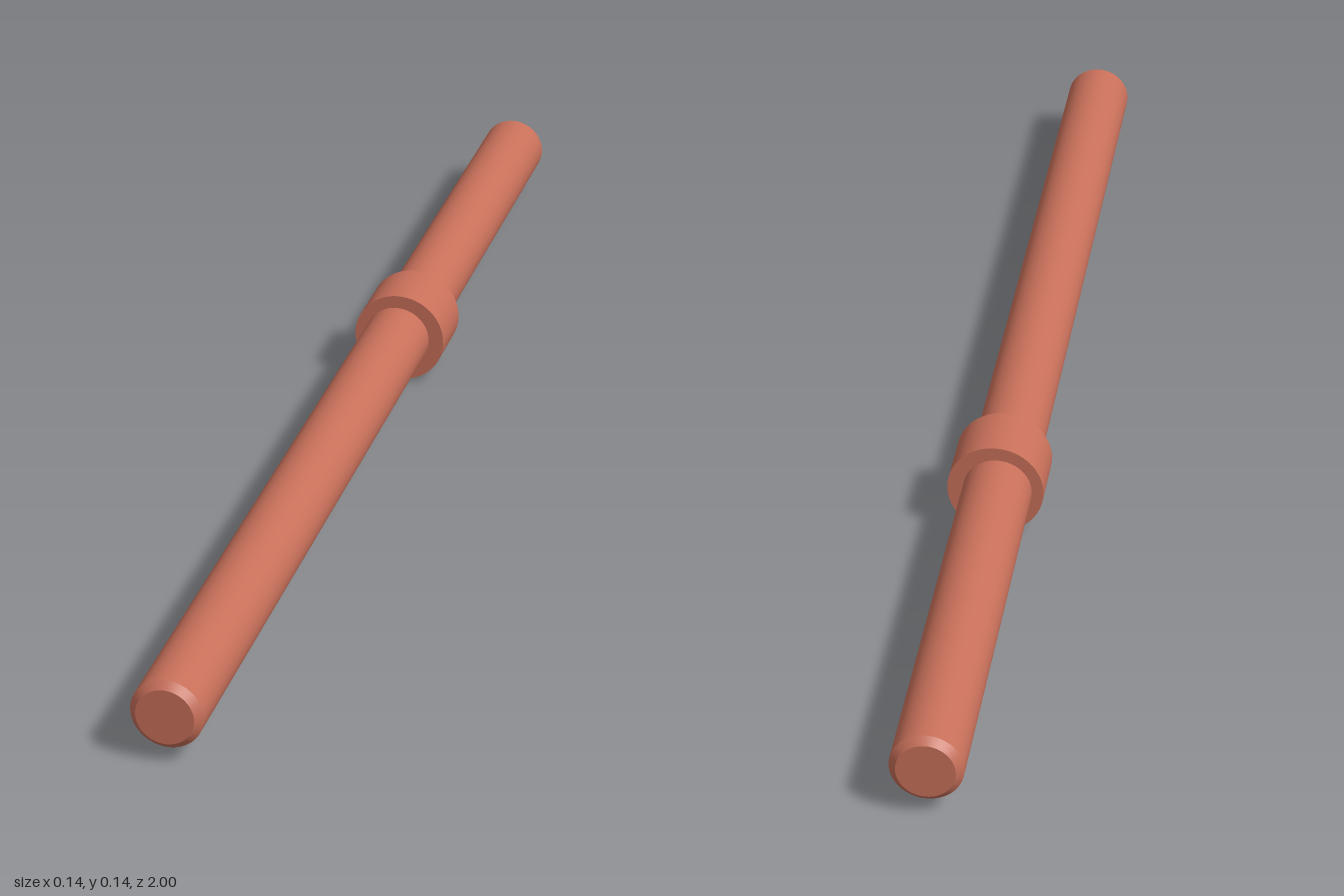
import * as THREE from 'three';

// Turned solid along z; each profile corner is doubled so its edge stays sharp.
function turned(name, profile, material) {
  const points = profile.flatMap(([r, z]) => [new THREE.Vector2(r, z), new THREE.Vector2(r, z)]);
  const geometry = new THREE.LatheGeometry(points.slice(1, -1), 64);
  geometry.rotateX(Math.PI / 2);
  const mesh = new THREE.Mesh(geometry, material);
  mesh.name = name;
  return mesh;
}

export function createModel() {
  const group = new THREE.Group();
  group.name = 'shaftWithCollar';
  const material = new THREE.MeshStandardMaterial({ color: 0xc8705a });

  // Long shaft with a small chamfer at both ends, sitting slightly off the collar's axis
  const radius = 0.05, chamfer = 0.01;
  const shaft = turned('shaft', [
    [0, -1], [radius - chamfer, -1], [radius, -1 + chamfer],
    [radius, 1 - chamfer], [radius - chamfer, 1], [0, 1],
  ], material);
  shaft.position.set(-0.003, 0.07, 0);

  // Square-edged collar behind the middle
  const collar = turned('collar', [
    [0, -0.05], [0.07, -0.05], [0.07, 0.05], [0, 0.05],
  ], material);
  collar.position.set(0, 0.07, -0.25);

  group.add(shaft, collar);
  return group;
}
